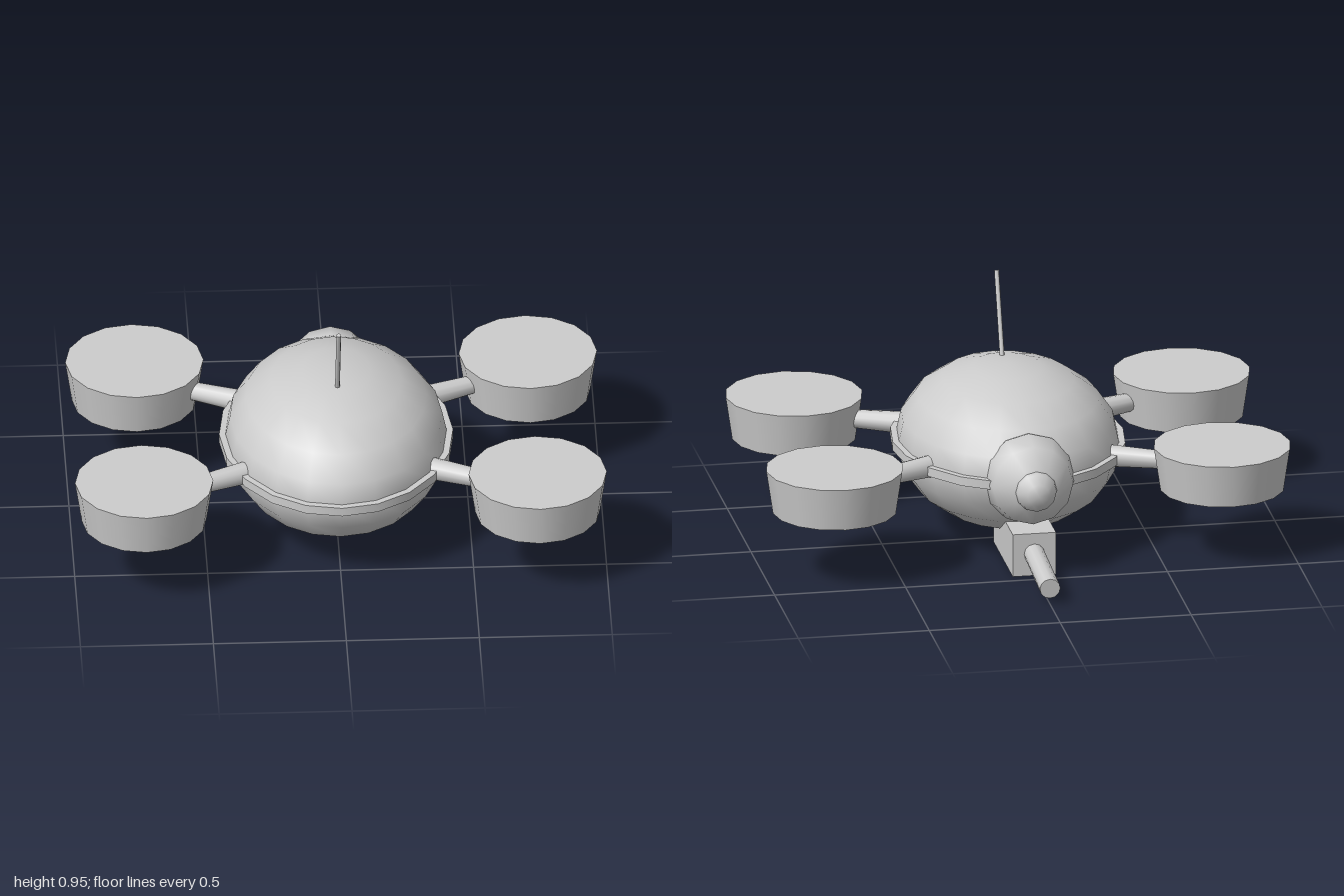
import * as THREE from 'three';

const grey = new THREE.MeshStandardMaterial({ color: 0xcccccc });
grey.name = 'light grey';

function add(parent, name, geometry, x = 0, y = 0, z = 0) {
  const mesh = new THREE.Mesh(geometry, grey);
  mesh.name = name;
  mesh.position.set(x, y, z);
  parent.add(mesh);
  return mesh;
}

// Round rod between two points, with a radius at each end
function rod(parent, name, from, to, rFrom, rTo, sides) {
  const a = new THREE.Vector3(...from);
  const b = new THREE.Vector3(...to);
  const dir = b.clone().sub(a);
  const mesh = add(parent, name, new THREE.CylinderGeometry(rTo, rFrom, dir.length(), sides));
  mesh.position.copy(a).add(b).multiplyScalar(0.5);
  mesh.quaternion.setFromUnitVectors(new THREE.Vector3(0, 1, 0), dir.normalize());
  return mesh;
}

export function createModel() {
  const model = new THREE.Group();
  model.name = 'drone';
  const midY = 0.348;
  const midZ = 0.105;

  // Egg-shaped hull with a thin band around its equator
  add(model, 'hull', new THREE.SphereGeometry(1, 20, 10).scale(0.42, 0.307, 0.525), 0, midY, midZ);
  add(model, 'hullBand', new THREE.CylinderGeometry(1, 1, 0.035, 20).scale(0.44, 1, 0.545), 0, 0.35, midZ);

  // Tail bulb and its small tip, poles along z
  add(model, 'tailBulb', new THREE.SphereGeometry(0.177, 12, 6).rotateX(Math.PI / 2), 0, midY, -0.34);
  add(model, 'tailTip', new THREE.SphereGeometry(0.085, 12, 6).rotateX(Math.PI / 2), 0, midY, -0.473);

  // Four rotor pods on tapered arms
  for (const side of [-1, 1]) {
    for (const [end, z, rootZ] of [['front', 0.53, 0.337], ['rear', -0.328, -0.137]]) {
      const pod = new THREE.Group();
      pod.name = `${end}${side > 0 ? 'Left' : 'Right'}Rotor`;
      model.add(pod);
      add(pod, 'rotorPod', new THREE.CylinderGeometry(0.26, 0.235, 0.167, 16), side * 0.74, 0.347, z);
      rod(pod, 'rotorArm', [side * 0.31, 0.352, rootZ], [side * 0.6, 0.352, rootZ + (z - rootZ) * 0.674], 0.044, 0.032, 12);
    }
  }

  // Belly housing with a slightly drooping barrel pointing backwards
  add(model, 'bellyHousing', new THREE.BoxGeometry(0.165, 0.167, 0.405), 0, 0.0835, -0.2525);
  rod(model, 'barrel', [0, 0.092, -0.38], [0, 0.062, -0.788], 0.039, 0.039, 12);

  // Antenna leaning forward
  rod(model, 'antenna', [0, 0.61, 0.213], [0, 0.942, 0.342], 0.009, 0.009, 8);

  return model;
}
